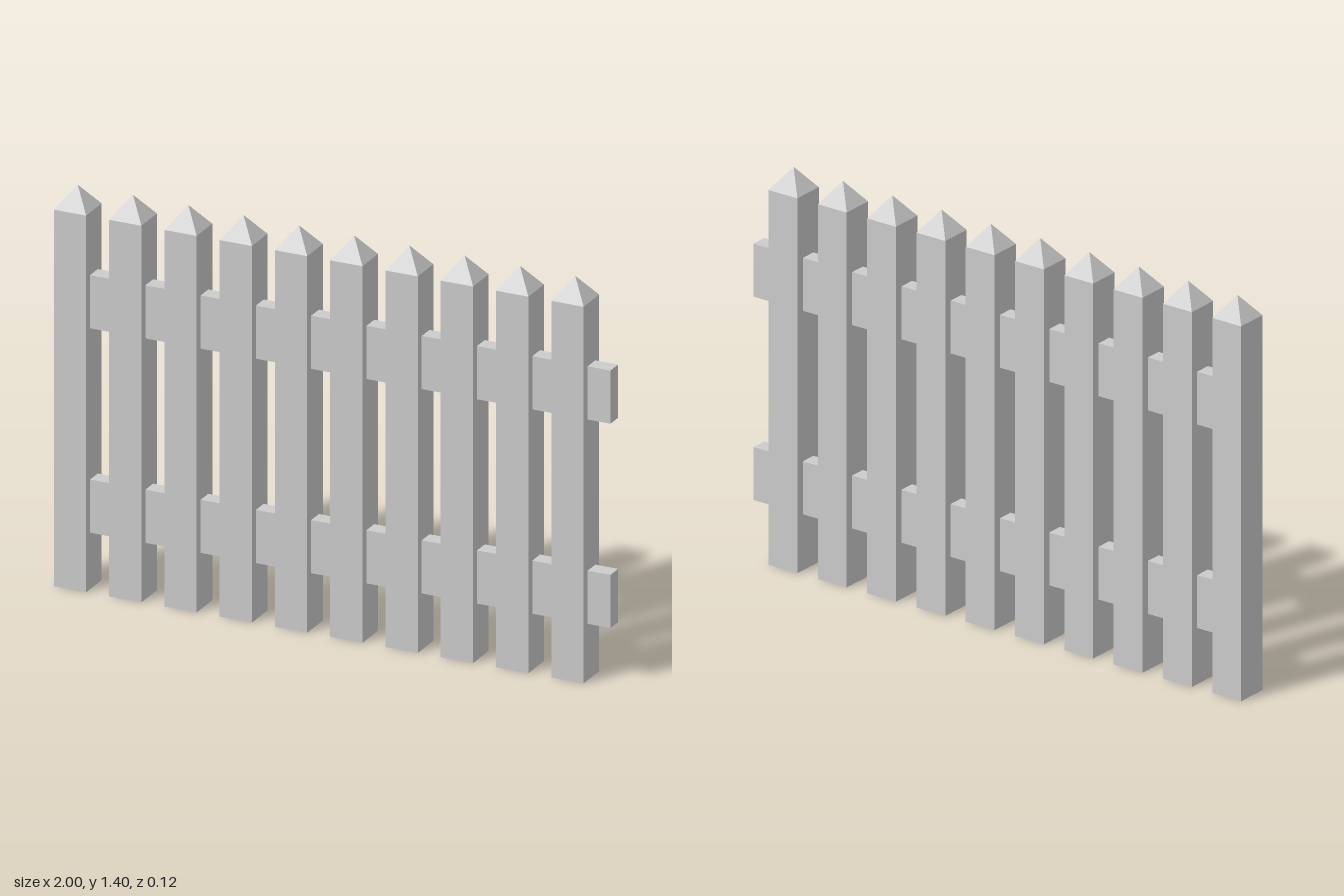
import * as THREE from 'three';

const WIDTH = 0.117, SHAFT = 1.325, TIP = 0.077, SPACING = 0.2, COUNT = 10;

export function createModel() {
  const fence = new THREE.Group();
  fence.name = 'picketFence';
  const material = new THREE.MeshStandardMaterial({ color: 0xcccccc, flatShading: true });

  const add = (parent, name, geometry, x, y) => {
    const mesh = new THREE.Mesh(geometry, material);
    mesh.name = name;
    mesh.position.set(x, y, 0);
    parent.add(mesh);
  };

  // Square post, open at the top where the pyramid cap closes it
  const shaft = new THREE.CylinderGeometry(WIDTH / Math.SQRT2, WIDTH / Math.SQRT2, SHAFT, 4, 1, false)
    .rotateY(Math.PI / 4);
  const tip = new THREE.ConeGeometry(WIDTH / Math.SQRT2, TIP, 4, 1, true).rotateY(Math.PI / 4);

  // Evenly spaced pickets
  for (let i = 0; i < COUNT; i++) {
    const picket = new THREE.Group();
    picket.name = `picket${i + 1}`;
    picket.position.x = -1 + WIDTH / 2 + i * SPACING;
    add(picket, 'picketShaft', shaft, 0, SHAFT / 2);
    add(picket, 'picketTip', tip, 0, SHAFT + TIP / 2);
    fence.add(picket);
  }

  // Two rails, starting inside the first picket and running past the last
  const railStart = -1 + WIDTH / 2;
  const rail = new THREE.BoxGeometry(1 - railStart, 0.187, 0.058);
  add(fence, 'lowerRail', rail, (1 + railStart) / 2, 0.292);
  add(fence, 'upperRail', rail, (1 + railStart) / 2, 1.011);

  return fence;
}
